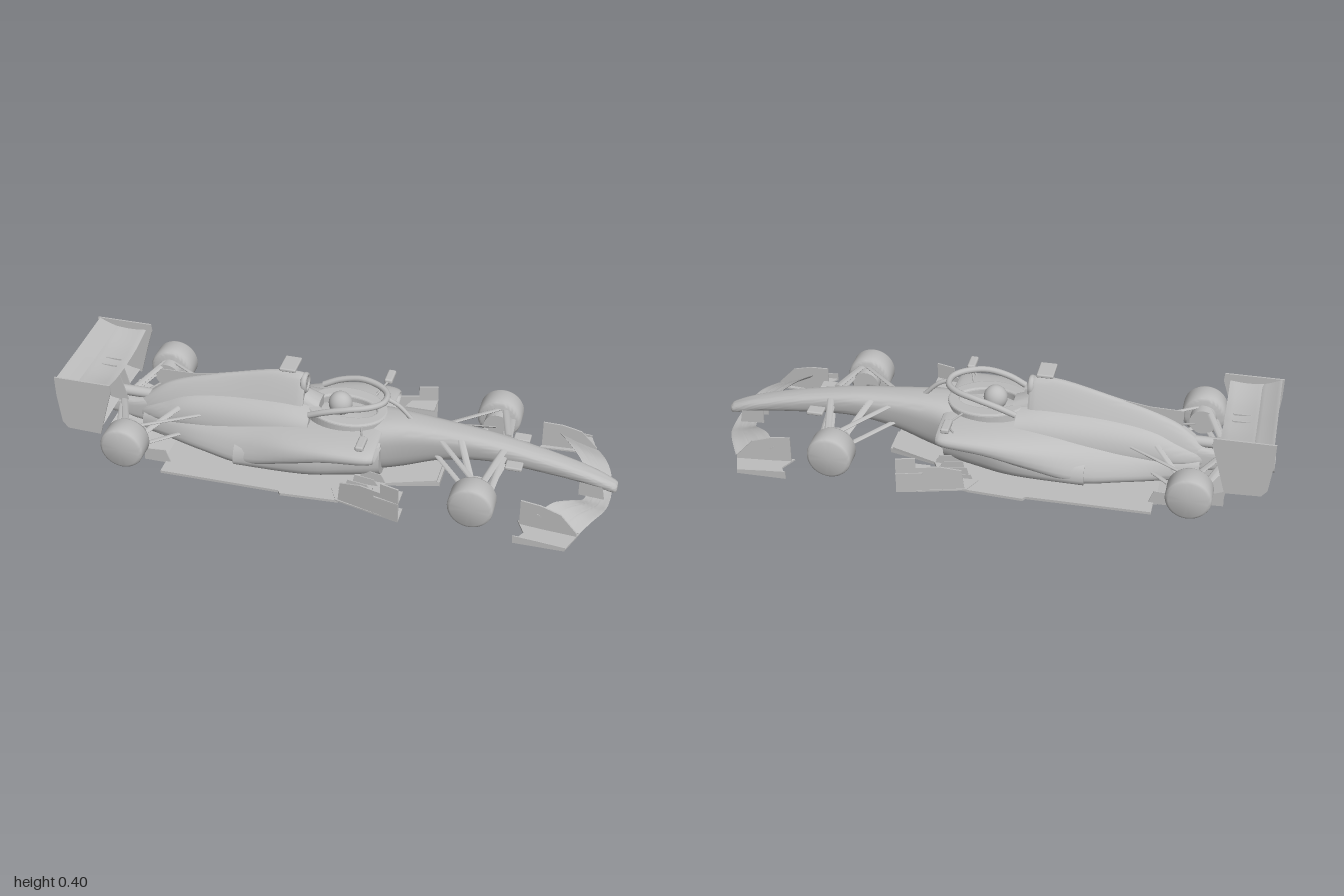
import * as THREE from 'three';
import { toCreasedNormals } from 'three/addons/utils/BufferGeometryUtils.js';
import { RoundedBoxGeometry } from 'three/addons/geometries/RoundedBoxGeometry.js';

const paint = new THREE.MeshStandardMaterial({ color: 0xbdbdbd, side: THREE.DoubleSide });
paint.name = 'light grey';
const V = (x, y, z) => new THREE.Vector3(x, y, z);

// Smoothly interpolate every column of a list of stations
function spline(st, n) {
  const out = [];
  for (let i = 0; i < st.length - 1; i++) {
    const a = st[Math.max(i - 1, 0)], b = st[i], c = st[i + 1], d = st[Math.min(i + 2, st.length - 1)];
    for (let k = 0; k < n; k++) {
      const t = k / n;
      out.push(b.map((p, j) => {
        const m0 = (c[j] - a[j]) / 2, m1 = (d[j] - p) / 2;
        return p + m0 * t + (3 * (c[j] - p) - 2 * m0 - m1) * t * t + (2 * (p - c[j]) + m0 + m1) * t ** 3;
      }));
    }
  }
  out.push(st[st.length - 1]);
  return out;
}

// Skin closed rings of equal length and cap both ends
function loft(rings, crease = 0.6) {
  const n = rings[0].length, pos = [], idx = [];
  rings.forEach(r => r.forEach(p => pos.push(p.x, p.y, p.z)));
  for (let i = 0; i < rings.length - 1; i++)
    for (let k = 0; k < n; k++) {
      const a = i * n + k, b = i * n + (k + 1) % n;
      idx.push(a, b, a + n, b, b + n, a + n);
    }
  [0, rings.length - 1].forEach((r, side) => {
    const c = pos.length / 3, m = V(0, 0, 0);
    rings[r].forEach(p => m.addScaledVector(p, 1 / n));
    pos.push(m.x, m.y, m.z);
    for (let k = 0; k < n; k++) {
      const a = r * n + k, b = r * n + (k + 1) % n;
      side ? idx.push(c, a, b) : idx.push(c, b, a);
    }
  });
  const g = new THREE.BufferGeometry();
  g.setAttribute('position', new THREE.Float32BufferAttribute(pos, 3));
  g.setIndex(idx);
  return toCreasedNormals(g, crease);
}

// Rounded-box hull along x; stations are [x, halfWidth, top, bottom, taper]; bend below 1 makes a bell section
function hull(stations, power = 2.8, bend = 1) {
  const f = v => Math.sign(v) * Math.abs(v) ** (2 / power);
  return loft(spline(stations, 5).map(([x, w, top, bot, taper]) =>
    Array.from({ length: 40 }, (_, k) => {
      const a = k / 40 * Math.PI * 2, py = f(Math.sin(a));
      return V(x, (top + bot) / 2 + (top - bot) / 2 * py, w * f(Math.cos(a)) * (1 - taper * Math.max(0, (py + 1) / 2) ** bend));
    })));
}

// Symmetric wing; half-span stations are [z, leadX, leadY, trailX, trailY]
function wing(half, thick = 0.008, sag = 0.008) {
  const right = spline(half, 5);
  const all = [...right.slice(1).reverse().map(s => [-s[0], ...s.slice(1)]), ...right];
  return loft(all.map(([z, lx, ly, tx, ty]) => Array.from({ length: 14 }, (_, k) => {
    const a = k / 14 * Math.PI * 2, t = (1 - Math.cos(a)) / 2;
    return V(lx + (tx - lx) * t, ly + (ty - ly) * t - sag * 4 * t * (1 - t) + Math.sin(a) * thick / 2, z);
  })));
}

// Flat plates cut from an outline: upright in x-y, or level in x-z
function plate(pts, depth = 0.006) {
  const s = new THREE.Shape(pts.map(p => new THREE.Vector2(...p)));
  return new THREE.ExtrudeGeometry(s, { depth, bevelEnabled: false }).translate(0, 0, -depth / 2);
}
const level = (pts, y, depth = 0.006) => plate(pts, depth).rotateX(Math.PI / 2).translate(0, y, 0);
const mirrored = pts => [...pts, ...pts.map(([x, z]) => [x, -z]).reverse()];

function rod(a, b, r = 0.005) {
  const g = new THREE.CylinderGeometry(r, r, a.distanceTo(b), 8);
  g.applyQuaternion(new THREE.Quaternion().setFromUnitVectors(V(0, 1, 0), b.clone().sub(a).normalize()));
  return g.translate((a.x + b.x) / 2, (a.y + b.y) / 2, (a.z + b.z) / 2);
}
// Flattened arm with its chord along x, running from the smaller z to the larger
const blade = (a, b) => loft((a.z < b.z ? [a, b] : [b, a]).map(p => Array.from({ length: 12 }, (_, k) =>
  V(p.x + 0.013 * Math.cos(k * Math.PI / 6), p.y + 0.0045 * Math.sin(k * Math.PI / 6), p.z))));
const box = (w, h, d, x, y, z) => new RoundedBoxGeometry(w, h, d, 3, Math.min(w, h, d) * 0.35).translate(x, y, z);
const tube = (pts, r) => new THREE.TubeGeometry(new THREE.CatmullRomCurve3(pts), 40, r, 10);

export function createModel() {
  const car = new THREE.Group();
  car.name = 'racingCar';
  const add = (name, g) => {
    const m = new THREE.Mesh(g, paint);
    m.name = name;
    car.add(m);
    return m;
  };

  // Nose and survival cell
  add('noseAndChassis', hull([
    [1, 0.016, 0.094, 0.07, 0], [0.985, 0.026, 0.104, 0.066, 0], [0.9, 0.034, 0.137, 0.088, -0.1],
    [0.75, 0.036, 0.177, 0.105, -0.25], [0.55, 0.042, 0.215, 0.12, -0.3], [0.38, 0.05, 0.232, 0.095, -0.35],
    [0.24, 0.065, 0.241, 0.045, -0.35], [0.15, 0.085, 0.238, 0.025, -0.25], [0.05, 0.1, 0.226, 0.02, -0.15],
    [-0.15, 0.11, 0.226, 0.02, -0.05]]));

  // Side bodywork with recessed inlets and undercut, sweeping down to the tail
  add('sidepods', hull([
    [0.06, 0.195, 0.205, 0.17, 0], [0.15, 0.2, 0.208, 0.165, 0], [0.172, 0.218, 0.215, 0.155, 0],
    [0.13, 0.235, 0.223, 0.148, 0], [0, 0.238, 0.224, 0.13, 0.02], [-0.15, 0.232, 0.214, 0.08, 0.12],
    [-0.32, 0.215, 0.19, 0.025, 0.35], [-0.48, 0.165, 0.165, 0.025, 0.4], [-0.62, 0.105, 0.145, 0.025, 0.3],
    [-0.74, 0.06, 0.12, 0.03, 0.2]]));
  add('lowerBodywork', hull([
    [0.17, 0.115, 0.2, 0.02, 0], [0.05, 0.16, 0.2, 0.02, 0], [-0.1, 0.2, 0.19, 0.02, 0], [-0.35, 0.205, 0.15, 0.02, 0.2]]));

  // Engine cover: broad shoulders, narrow spine, roll hoop inlet and fin
  add('engineShoulders', hull([
    [-0.09, 0.14, 0.258, 0.12, 0.15], [-0.2, 0.143, 0.266, 0.1, 0.25], [-0.4, 0.125, 0.25, 0.08, 0.3],
    [-0.56, 0.102, 0.222, 0.08, 0.3], [-0.66, 0.08, 0.18, 0.08, 0.3], [-0.75, 0.04, 0.14, 0.08, 0.2]], 2.5));
  add('engineCover', hull([
    [-0.125, 0.11, 0.35, 0.12, 0.72], [-0.15, 0.13, 0.363, 0.1, 0.77], [-0.25, 0.14, 0.356, 0.08, 0.82],
    [-0.4, 0.13, 0.318, 0.08, 0.82], [-0.55, 0.105, 0.276, 0.08, 0.74], [-0.66, 0.075, 0.23, 0.08, 0.6],
    [-0.76, 0.035, 0.15, 0.08, 0.2]], 2.5, 0.7));
  add('airInlet', new THREE.TorusGeometry(0.027, 0.007, 10, 32).rotateY(Math.PI / 2).scale(1.6, 1.15, 1.05).translate(-0.13, 0.322, 0));
  add('spineFin', plate([[-0.67, 0.2], [-0.67, 0.285], [-0.55, 0.288], [-0.35, 0.32], [-0.35, 0.2]], 0.004));
  add('cameraStem', box(0.03, 0.04, 0.008, -0.18, 0.372, 0));
  add('cameraBar', box(0.06, 0.013, 0.088, -0.183, 0.39, 0));

  // Cockpit rim, halo and driver
  const rim = new THREE.Shape().absellipse(0.025, 0, 0.14, 0.108, 0, Math.PI * 2);
  rim.holes.push(new THREE.Path().absellipse(0.025, 0, 0.115, 0.07, 0, Math.PI * 2));
  add('cockpitRim', new THREE.ExtrudeGeometry(rim, { depth: 0.04, bevelSize: 0.008, bevelThickness: 0.008, bevelSegments: 3, curveSegments: 32 })
    .rotateX(Math.PI / 2).rotateZ(-0.05).translate(0, 0.243, 0));
  const halo = [[-0.09, 0.255, 0.1], [-0.03, 0.282, 0.106], [0.05, 0.303, 0.1], [0.12, 0.306, 0.073], [0.16, 0.305, 0.035]];
  add('halo', tube([...halo.map(p => V(...p)), V(0.168, 0.305, 0), ...halo.map(([x, y, z]) => V(x, y, -z)).reverse()], 0.0115));
  add('haloStrut', tube([V(0.168, 0.306, 0), V(0.21, 0.285, 0), V(0.26, 0.235, 0)], 0.008));
  add('helmet', new THREE.SphereGeometry(0.043, 32, 20).scale(1, 1.05, 0.92).translate(0, 0.257, 0));
  add('headrest', hull([[-0.13, 0.06, 0.29, 0.2, 0.3], [-0.07, 0.055, 0.265, 0.2, 0.2]]));

  // Floor, plank and diffuser
  add('floor', level(mirrored([[-0.7, 0.17], [-0.6, 0.2], [-0.6, 0.26], [-0.16, 0.26], [-0.15, 0.274], [0.05, 0.262], [0.14, 0.23], [0.2, 0.12], [0.37, 0.06]]), 0.022, 0.01));
  add('plank', level(mirrored([[-0.62, 0.1], [0.1, 0.128], [0.2, 0.1], [0.38, 0.055]]), 0.009, 0.018));
  add('diffuser', plate([[-0.6, 0.018], [-0.7, 0.03], [-0.84, 0.085], [-0.84, 0.093], [-0.7, 0.04], [-0.6, 0.026]], 0.36));
  for (let i = -3; i <= 3; i++)
    add('diffuserStrake', plate([[-0.62, 0.022], [-0.84, 0.03], [-0.84, 0.088], [-0.7, 0.036]], 0.004).translate(0, 0, i * 0.059));

  // Gearbox and rear crash structure
  add('gearbox', hull([[-0.65, 0.055, 0.18, 0.05, 0.2], [-0.78, 0.035, 0.15, 0.065, 0.1], [-0.9, 0.024, 0.138, 0.08, 0], [-1, 0.02, 0.135, 0.08, 0]], 4));
  add('exhaust', new THREE.CylinderGeometry(0.02, 0.02, 0.14, 20, 1, true).rotateZ(Math.PI / 2).translate(-0.77, 0.168, 0));

  // Rear wing
  add('rearMainPlane', wing([[0, -0.81, 0.278, -0.935, 0.29], [0.1, -0.81, 0.283, -0.935, 0.292], [0.208, -0.81, 0.302, -0.935, 0.302]], 0.012, 0.01));
  add('rearFlap', wing([[0, -0.925, 0.296, -0.992, 0.325], [0.208, -0.925, 0.3, -0.992, 0.327]], 0.008, 0.005));
  add('beamWing', wing([[0, -0.84, 0.14, -0.92, 0.165], [0.19, -0.84, 0.13, -0.92, 0.155]]));

  // Front wing, three stacked elements following one curve
  const front = [[0, 0.982, 0.033, 0.9, 0.043], [0.06, 0.978, 0.036, 0.89, 0.05], [0.12, 0.965, 0.048, 0.855, 0.085],
    [0.18, 0.94, 0.055, 0.8, 0.108], [0.245, 0.905, 0.045, 0.755, 0.1]];
  [[0, 0.42], [0.38, 0.74], [0.7, 1]].forEach(([a, b]) => add('frontWingElement', wing(front.map(([z, lx, ly, tx, ty]) => {
    const at = t => [lx + (tx - lx) * t, ly + (ty - ly) * t ** 1.3];
    return [z, ...at(a), ...at(b)];
  }), 0.006, 0.004)));

  // Wheel with rounded shoulders and a flat cover
  const tyre = [[0, 0], [0.066, 0], [0.075, 0.004], [0.08, 0.014], [0.08, 0.08], [0.077, 0.087], [0.068, 0.092], [0, 0.094]];
  const wheel = () => toCreasedNormals(new THREE.LatheGeometry(tyre.map(p => new THREE.Vector2(...p)), 48), 0.7)
    .rotateX(Math.PI / 2).translate(0, 0, -0.046);

  for (const s of [1, -1]) {
    const p = (x, y, z) => V(x, y, z * s);
    const outline = pts => pts.map(([x, z]) => [x, z * s]);

    // Wheels and brake drums
    [['front', 0.535, 0.125, 0.269], ['rear', -0.726, 0.129, 0.262]].forEach(([end, x, y, z]) => {
      const w = add(end + 'Wheel', wheel());
      w.position.set(x, y, z * s);
      w.rotation.y = s < 0 ? Math.PI : 0;
      add(end + 'BrakeDrum', new THREE.CylinderGeometry(0.048, 0.048, 0.05, 28).rotateX(Math.PI / 2).translate(x, y, (z - 0.06) * s));
    });

    // Suspension arms
    [[[0.38, 0.2, 0.055], [0.53, 0.175, 0.22]], [[0.6, 0.195, 0.045], [0.56, 0.175, 0.22]],
      [[0.37, 0.13, 0.055], [0.53, 0.1, 0.22]], [[0.6, 0.13, 0.04], [0.56, 0.1, 0.22]],
      [[0.45, 0.21, 0.05], [0.535, 0.105, 0.21]], [[0.6, 0.165, 0.04], [0.585, 0.14, 0.22]]]
      .forEach(([a, b]) => add('frontSuspensionArm', blade(p(...a), p(...b))));
    [[[-0.49, 0.17, 0.08], [-0.7, 0.17, 0.21]], [[-0.82, 0.14, 0.02], [-0.74, 0.17, 0.21]],
      [[-0.55, 0.08, 0.07], [-0.7, 0.085, 0.21]], [[-0.83, 0.09, 0.02], [-0.74, 0.085, 0.21]],
      [[-0.58, 0.18, 0.06], [-0.72, 0.1, 0.21]], [[-0.83, 0.12, 0.02], [-0.77, 0.125, 0.21]]]
      .forEach(([a, b]) => add('rearSuspensionArm', blade(p(...a), p(...b))));

    // Mirrors and small nose winglets
    add('mirror', box(0.03, 0.02, 0.072, 0.13, 0.252, s * 0.213));
    add('mirrorStay', rod(p(0.13, 0.248, 0.2), p(0.11, 0.21, 0.19), 0.004));
    add('mirrorArm', rod(p(0.13, 0.25, 0.19), p(0.1, 0.235, 0.1), 0.004));
    add('noseWinglet', box(0.06, 0.014, 0.045, 0.645, 0.165, s * 0.085));

    // Front wing endplate, footplate and pylon
    add('frontEndplate', plate([[0.7, 0.04], [0.7, 0.14], [0.77, 0.135], [0.84, 0.115], [0.9, 0.05], [0.9, 0.035]]).rotateY(-s * 0.08)
      .translate(0, 0, s * 0.18));
    add('frontFootplate', level(outline([[0.69, 0.22], [0.72, 0.28], [0.69, 0.333], [0.87, 0.33], [0.905, 0.235]]), 0.035));
    add('footplateEdge', plate([[0.69, 0.03], [0.69, 0.06], [0.76, 0.055], [0.87, 0.045], [0.87, 0.03]], 0.004).translate(0, 0, s * 0.331));
    add('wingPylon', plate([[0.87, 0.045], [0.87, 0.11], [0.95, 0.095], [0.96, 0.04]], 0.005).translate(0, 0, s * 0.028));

    // Turning vanes ahead of the sidepods
    add('bargeboard', plate([[0.05, 0.022], [0.06, 0.105], [0.14, 0.125], [0.22, 0.125], [0.22, 0.165], [0.29, 0.165], [0.29, 0.03], [0.2, 0.022]])
      .rotateY(-s * 0.27).translate(0.01, 0, s * 0.243));
    add('bargeShelf', level(outline([[0.18, 0.25], [0.2, 0.305], [0.29, 0.325], [0.29, 0.25]]), 0.102));
    add('bargeFoot', level(outline([[0.02, 0.2], [0.05, 0.262], [0.2, 0.3], [0.29, 0.322], [0.29, 0.25], [0.18, 0.245], [0.12, 0.2]]), 0.027));
    for (let i = 0; i < 4; i++)
      add('turningVane', plate([[0.1, 0.014], [0.11, 0.07 - i * 0.008], [0.18, 0.06 - i * 0.008], [0.2, 0.02]], 0.003)
        .translate(-0.02 * i, 0, s * (0.12 + i * 0.025)));

    // Floor kick-up ahead of the rear wheel
    add('floorFin', plate([[-0.68, 0.022], [-0.68, 0.07], [-0.6, 0.075], [-0.58, 0.022]], 0.004).translate(0, 0, s * 0.2));

    // Rear wing endplate and support
    add('rearEndplate', plate([[-1, 0.328], [-0.79, 0.328], [-0.787, 0.3], [-0.805, 0.24], [-0.84, 0.11], [-0.965, 0.115], [-0.985, 0.14], [-0.998, 0.25]])
      .translate(0, 0, s * 0.209));
    add('rearWingPylon', plate([[-0.8, 0.13], [-0.84, 0.285], [-0.9, 0.285], [-0.87, 0.13]], 0.005).translate(0, 0, s * 0.022));
  }
  return car;
}
